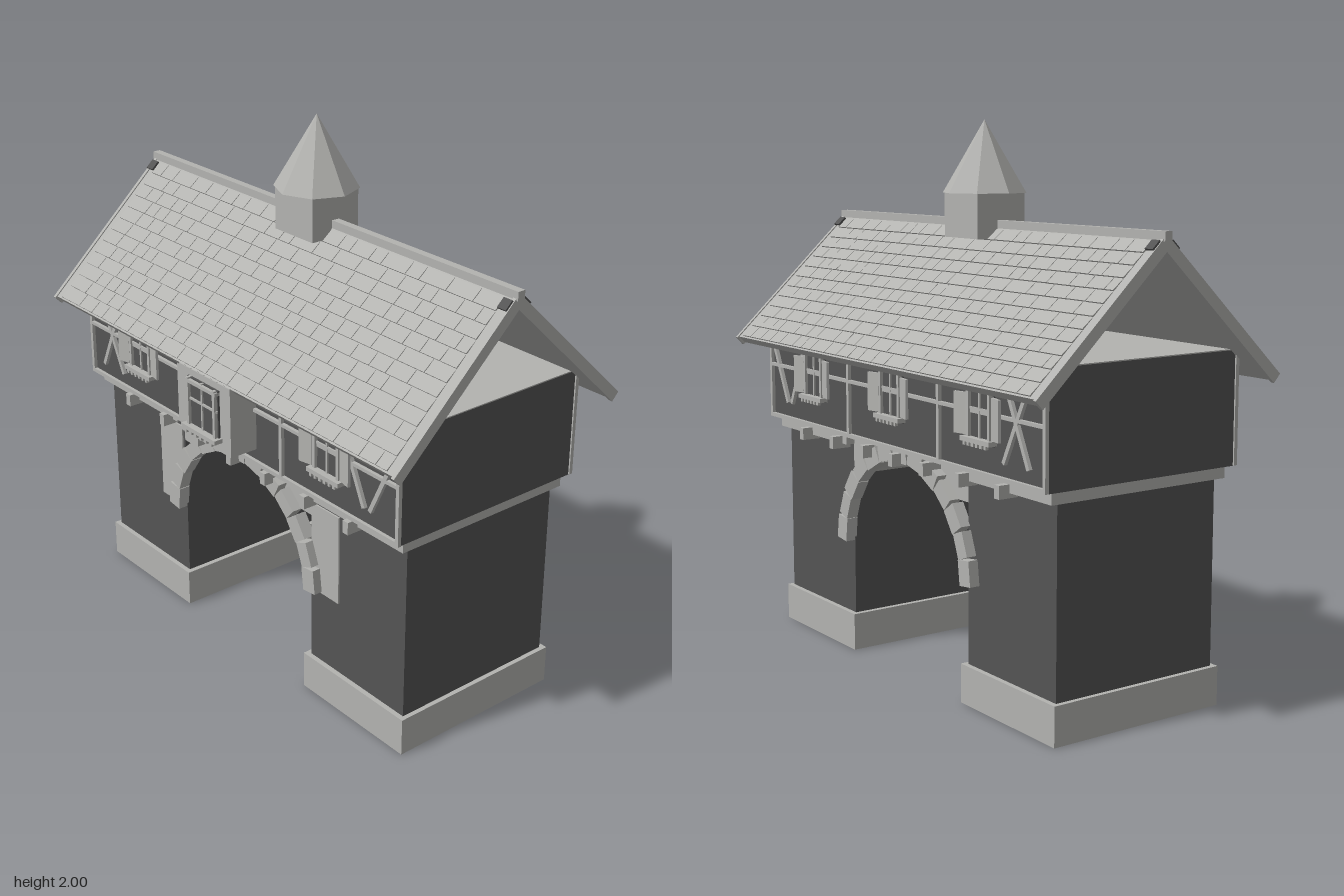
import * as THREE from 'three';
import { mergeGeometries } from 'three/addons/utils/BufferGeometryUtils.js';

const light = new THREE.MeshStandardMaterial({ color: 0xb3b3b0 });
light.name = 'pale stone and timber';
const dark = new THREE.MeshStandardMaterial({ color: 0x545454 });
dark.name = 'dark wall';

function mesh(parent, name, geo, mat, x = 0, y = 0, z = 0) {
  const m = new THREE.Mesh(geo, mat);
  m.name = name;
  m.position.set(x, y, z);
  parent.add(m);
  return m;
}
const box = (parent, name, mat, w, h, d, x, y, z) =>
  mesh(parent, name, new THREE.BoxGeometry(w, h, d), mat, x, y, z);

function group(parent, name, x = 0, y = 0, z = 0) {
  const g = new THREE.Group();
  g.name = name;
  g.position.set(x, y, z);
  parent.add(g);
  return g;
}

// Flat beam between two points of a facade
function beam(parent, x1, y1, x2, y2, w = 0.015, name = 'timberBeam') {
  const len = Math.hypot(x2 - x1, y2 - y1);
  const b = box(parent, name, light, len, w, 0.014, (x1 + x2) / 2, (y1 + y2) / 2, 0.006);
  b.rotation.z = Math.atan2(y2 - y1, x2 - x1);
}

// Window facing +z with its centre on the wall surface
function addWindow(parent, x, y, z, w, h, shutters) {
  const g = group(parent, 'window', x, y, z);
  box(g, 'windowPane', dark, w, h, 0.008, 0, 0, 0.004);
  for (const s of [-1, 1]) {
    box(g, 'windowJamb', light, 0.013, h, 0.02, s * (w / 2 - 0.012), 0, 0.01);
    if (shutters) {
      const sh = box(g, 'shutter', light, 0.056, 0.14, 0.01, s * (w / 2 + 0.028), -0.002, 0.018);
      sh.rotation.y = -s * 0.2;
    }
  }
  for (const fx of [0]) box(g, 'mullion', light, 0.008, h, 0.012, fx, 0, 0.008);
  box(g, 'transom', light, w, 0.008, 0.012, 0, 0.02, 0.008);
  box(g, 'windowHead', light, w, 0.013, 0.02, 0, h / 2 - 0.012, 0.01);
  box(g, 'windowSill', light, w + 0.02, 0.016, 0.034, 0, -h / 2 + 0.012, 0.017);
  for (let i = 0; i < 6; i++) {
    box(g, 'sillBead', light, 0.012, 0.012, 0.012, (i - 2.5) * w / 6, -h / 2 - 0.002, 0.028);
  }
}

// Small seeded generator for tile variation
function seeded(seed) {
  return () => (seed = (seed * 16807) % 2147483647) / 2147483647;
}

function addRoofSlope(parent, angleY, seed) {
  const turn = group(parent, 'roofSide', 0, 1.632, 0);
  turn.rotation.y = angleY;
  const g = group(turn, 'roofSlope');
  g.rotation.x = 0.755;
  const L = 0.692;
  box(g, 'roofSlab', light, 1.97, 0.032, L, 0, -0.018, L / 2);
  for (const s of [-1, 1]) {
    box(g, 'bargeboard', light, 0.014, 0.04, L + 0.008, s * 0.986, -0.018, (L + 0.008) / 2);
    box(g, 'ridgePlate', dark, 0.038, 0.008, 0.04, s * 0.97, 0.005, 0.05);
  }
  // Staggered tile rows, lower edges slightly raised
  const rand = seeded(seed), tiles = [], rows = 12, pitch = 0.055;
  for (let r = 0; r < rows; r++) {
    let x = -0.95;
    while (x < 0.949) {
      let w = 0.06 + rand() * 0.07;
      if (x + w > 0.91) w = 0.95 - x;
      const t = new THREE.BoxGeometry(w - 0.003, 0.005, pitch - 0.002);
      t.rotateX(-0.06 - rand() * 0.03);
      t.translate(x + w / 2, -0.001, 0.026 + (r + 0.5) * pitch);
      tiles.push(t);
      x += w;
    }
  }
  mesh(g, 'roofTiles', mergeGeometries(tiles), light);
}

// Timber frame, windows and arch stones of one long side (local +z outward)
function addFacade(parent, front) {
  const g = group(parent, front ? 'frontFacade' : 'backFacade');
  if (!front) g.rotation.y = Math.PI;
  const m = front ? 1 : -1; // keeps braces at the same end on both sides
  const frame = group(g, 'timberFrame', 0, 0, 0.394);
  beam(frame, -0.905, 0.847, 0.905, 0.847);
  beam(frame, -0.905, 1.05, 0.905, 1.05, 0.012);
  beam(frame, -0.905, 1.227, 0.905, 1.227);
  for (const x of [-0.898, -0.3, 0.3, 0.898]) beam(frame, x, 0.84, x, 1.235);
  beam(frame, -0.81 * m, 1.16, -0.68 * m, 0.9, 0.016, 'crossBrace');
  beam(frame, -0.69 * m, 1.16, -0.815 * m, 0.9, 0.016, 'crossBrace');
  beam(frame, 0.885 * m, 1.16, 0.765 * m, 0.91, 0.016, 'slantBrace');
  beam(frame, 0.62 * m, 1.16, 0.735 * m, 0.91, 0.016, 'slantBrace');
  for (const x of [-0.55, 0.55]) addWindow(g, x, 1.04, 0.395, 0.145, 0.19, true);

  if (front) {
    box(g, 'bayBox', light, 0.3, 0.26, 0.115, 0, 1.025, 0.4475);
    addWindow(g, 0, 1.03, 0.505, 0.18, 0.2, false);
    for (const s of [-1, 1]) {
      box(g, 'archSidePanel', light, 0.145, 0.34, 0.009, s * 0.4625, 0.595, 0.336);
    }
  } else {
    addWindow(g, 0, 1.04, 0.395, 0.145, 0.19, true);
  }

  // Joist ends under the overhanging storey
  for (const x of [-0.65, -0.42, -0.2, 0, 0.2, 0.42, 0.65]) {
    box(g, 'joistEnd', light, 0.027, 0.046, 0.085, x, 0.803, 0.3675);
  }
  // Arch stones
  const n = 13;
  for (let i = 0; i < n; i++) {
    const a = (i + 0.5) * Math.PI / n;
    const s = box(g, 'archStone', light, i % 2 ? 0.056 : 0.064, 0.09, 0.045,
      0.411 * Math.cos(a), 0.425 + 0.395 * Math.sin(a), 0.35);
    s.rotation.z = a;
  }
}

export function createModel() {
  const model = new THREE.Group();
  model.name = 'gatehouse';
  const g = group(model, 'building', 0, 0, -0.018);

  // Piers
  for (const s of [-1, 1]) {
    box(g, 'plinth', light, 0.53, 0.14, 0.706, s * 0.625, 0.07, 0);
    box(g, 'pier', dark, 0.493, 0.68, 0.668, s * 0.6265, 0.47, 0);
    box(g, 'stringCourse', light, 0.51, 0.038, 0.736, s * 0.633, 0.816, 0);
  }

  // Vault between the piers
  const sh = new THREE.Shape();
  const r = 0.385, cy = 0.42, y0 = 0.71, a0 = Math.asin((y0 - cy) / r);
  sh.moveTo(-0.38, y0);
  sh.lineTo(-r * Math.cos(a0), y0);
  sh.absarc(0, cy, r, Math.PI - a0, a0, true);
  sh.lineTo(0.38, y0);
  sh.lineTo(0.38, 0.837);
  sh.lineTo(-0.38, 0.837);
  const vault = new THREE.ExtrudeGeometry(sh, { depth: 0.668, bevelEnabled: false, curveSegments: 16 });
  mesh(g, 'archVault', vault, light, 0, 0, -0.334);

  // Upper storey, open under the roof
  box(g, 'upperStorey', dark, 1.8, 0.395, 0.788, 0, 1.0355, 0);
  box(g, 'atticFloor', light, 1.8, 0.004, 0.788, 0, 1.235, 0);

  addFacade(g, true);
  addFacade(g, false);

  // Roof
  addRoofSlope(g, 0, 11);
  addRoofSlope(g, Math.PI, 29);
  box(g, 'ridgeBeam', light, 2, 0.032, 0.03, 0, 1.629, 0);

  // Turret
  box(g, 'turretBase', light, 0.207, 0.165, 0.207, 0, 1.6625, 0);
  const spire = new THREE.ConeGeometry(0.153, 0.26, 8).toNonIndexed();
  spire.computeVertexNormals();
  mesh(g, 'turretSpire', spire, light, 0, 1.87, 0);

  return model;
}
